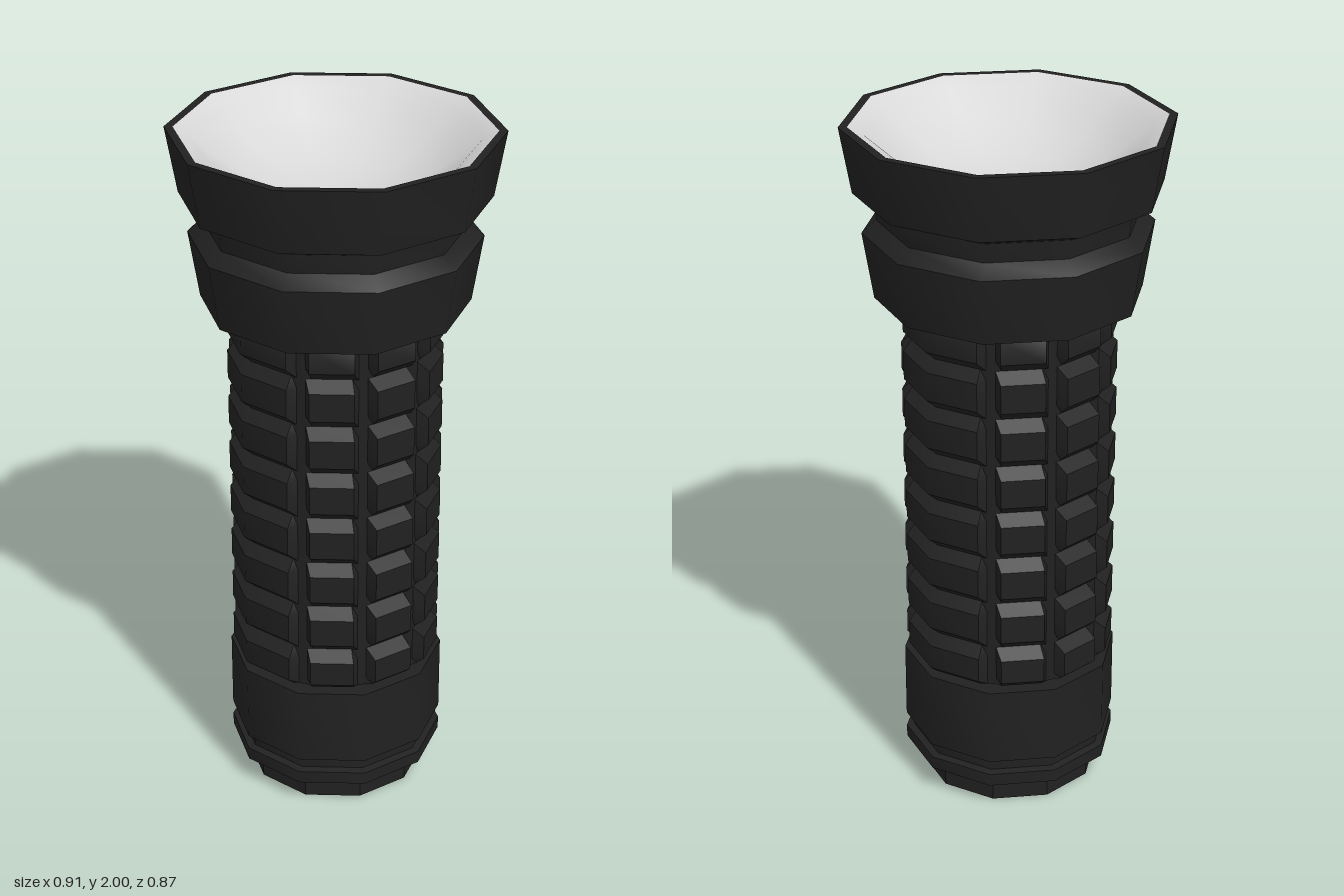
import * as THREE from 'three';
import { toCreasedNormals } from 'three/addons/utils/BufferGeometryUtils.js';

const SIDES = 10;

export function createModel() {
  const group = new THREE.Group();
  const black = new THREE.MeshStandardMaterial({ color: 0x212121 });
  const silver = new THREE.MeshStandardMaterial({ color: 0xd8d8d8 });

  function add(name, geometry, material) {
    const mesh = new THREE.Mesh(geometry, material);
    mesh.name = name;
    group.add(mesh);
  }

  // Ten-sided turned part with a corner on the x axis
  function turned(profile, crease) {
    const points = profile.map(([r, y]) => new THREE.Vector2(r, y));
    const geometry = new THREE.LatheGeometry(points, SIDES).rotateY(Math.PI / 2);
    return crease ? toCreasedNormals(geometry, crease) : geometry;
  }

  // Tail cap: faceted button, ring, neck and collar
  add('tailButton', turned([[0, 0], [0.26, 0], [0.26, 0.09]], 0.3), black);
  add('tailCap', turned([
    [0.24, 0.08], [0.31, 0.08], [0.31, 0.118], [0.288, 0.122], [0.288, 0.16],
    [0.31, 0.162], [0.31, 0.394], [0, 0.394],
  ], 0.7), black);

  // Grip: ribs along the height, slots along most corners
  add('grip', makeGrip(), black);

  // Flared head with a waist groove and flat rim
  add('head', turned([
    [0.25, 1.51], [0.373, 1.51], [0.403, 1.70], [0.362, 1.735], [0.368, 1.79],
    [0.425, 1.815], [0.457, 2], [0.433, 2],
  ], 0.7), black);

  // Smooth concave reflector
  add('reflector', turned([
    [0.433, 2], [0.39, 1.977], [0.33, 1.925], [0.26, 1.88], [0.18, 1.845],
    [0.09, 1.825], [0, 1.82],
  ]), silver);

  return group;
}

function makeGrip() {
  const outer = 0.31, inner = 0.276;

  // Cross-section: [x, z, pad], where pad marks points raised by the ribs
  const section = [];
  const corner = (i) => {
    const a = (i * Math.PI * 2) / SIDES;
    return new THREE.Vector2(Math.cos(a), -Math.sin(a));
  };
  for (let i = 0; i < SIDES; i++) {
    const c = corner(i);
    if (i % 5 === 0) {
      section.push([c, true]);
      continue;
    }
    const before = corner(i + SIDES - 1), after = corner(i + 1);
    section.push([c.clone().lerp(before, 0.18), true]);
    section.push([c.clone().lerp(before, 0.08), false]);
    section.push([c.clone().lerp(after, 0.08), false]);
    section.push([c.clone().lerp(after, 0.18), true]);
  }

  // Rows: [height, radius], one rib between each pair of grooves
  const rows = [[0.405, 0], [0.405, 0.287]];
  rows.push([0.425, outer]);
  for (let i = 0; i < 7; i++) {
    const y = 0.528 + i * 0.1435;
    rows.push([y - 0.03, outer], [y, inner], [y + 0.03, outer]);
  }
  rows.push([1.49, outer], [1.52, 0.285], [1.52, 0]);

  const positions = [], indices = [];
  const n = section.length;
  for (const [y, r] of rows) {
    for (const [p, pad] of section) {
      const s = pad ? r : Math.min(r, inner);
      positions.push(p.x * s, y, p.y * s);
    }
  }
  for (let j = 0; j < rows.length - 1; j++) {
    for (let i = 0; i < n; i++) {
      const a = j * n + i, b = j * n + ((i + 1) % n);
      if (rows[j][1] > 0) indices.push(a, b, a + n);
      if (rows[j + 1][1] > 0) indices.push(b, b + n, a + n);
    }
  }
  const geometry = new THREE.BufferGeometry();
  geometry.setAttribute('position', new THREE.Float32BufferAttribute(positions, 3));
  geometry.setIndex(indices);
  return toCreasedNormals(geometry, 0.7);
}
